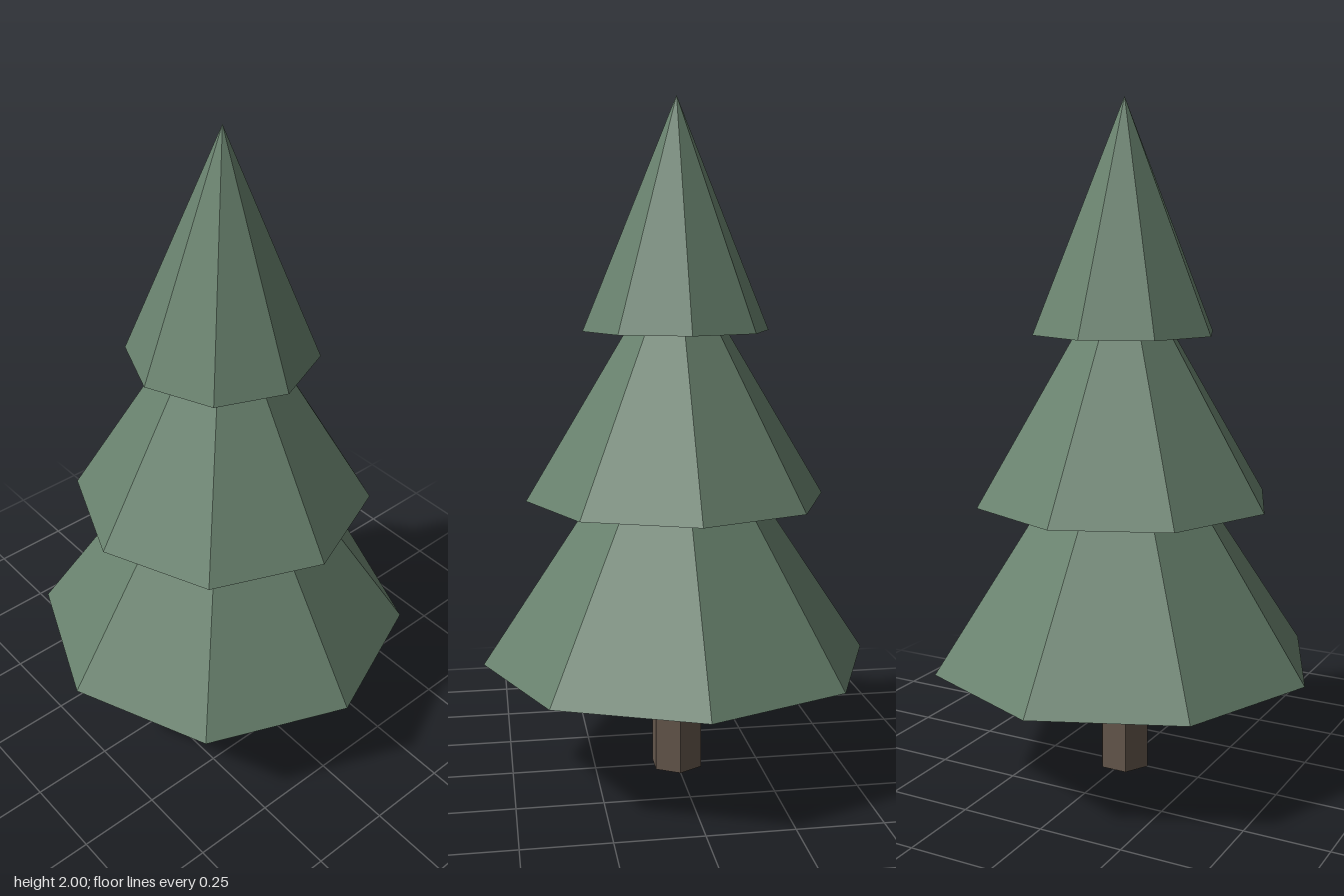
import * as THREE from 'three';

export function createModel() {
  const tree = new THREE.Group();
  tree.name = 'pineTree';

  const foliage = new THREE.MeshStandardMaterial({ color: 0x68816d });
  foliage.name = 'foliageGreen';
  foliage.flatShading = true;
  const bark = new THREE.MeshStandardMaterial({ color: 0x65574c });
  bark.name = 'barkBrown';
  bark.flatShading = true;

  // Each part stands on its base height
  function add(name, geometry, material, base, height) {
    const mesh = new THREE.Mesh(geometry, material);
    mesh.name = name;
    mesh.position.y = base + height / 2;
    tree.add(mesh);
  }

  // Six-sided trunk, its top just inside the lowest tier
  add('trunk', new THREE.CylinderGeometry(0.08, 0.08, 0.36, 6), bark, 0, 0.36);

  // Three overlapping eight-sided tiers: radius, base, height
  const tiers = [
    ['lowerFoliage', 0.58, 0.345, 0.87],
    ['middleFoliage', 0.447, 0.835, 0.745],
    ['topFoliage', 0.276, 1.33, 0.67],
  ];
  for (const [name, radius, base, height] of tiers) {
    add(name, new THREE.ConeGeometry(radius, height, 8), foliage, base, height);
  }

  return tree;
}
